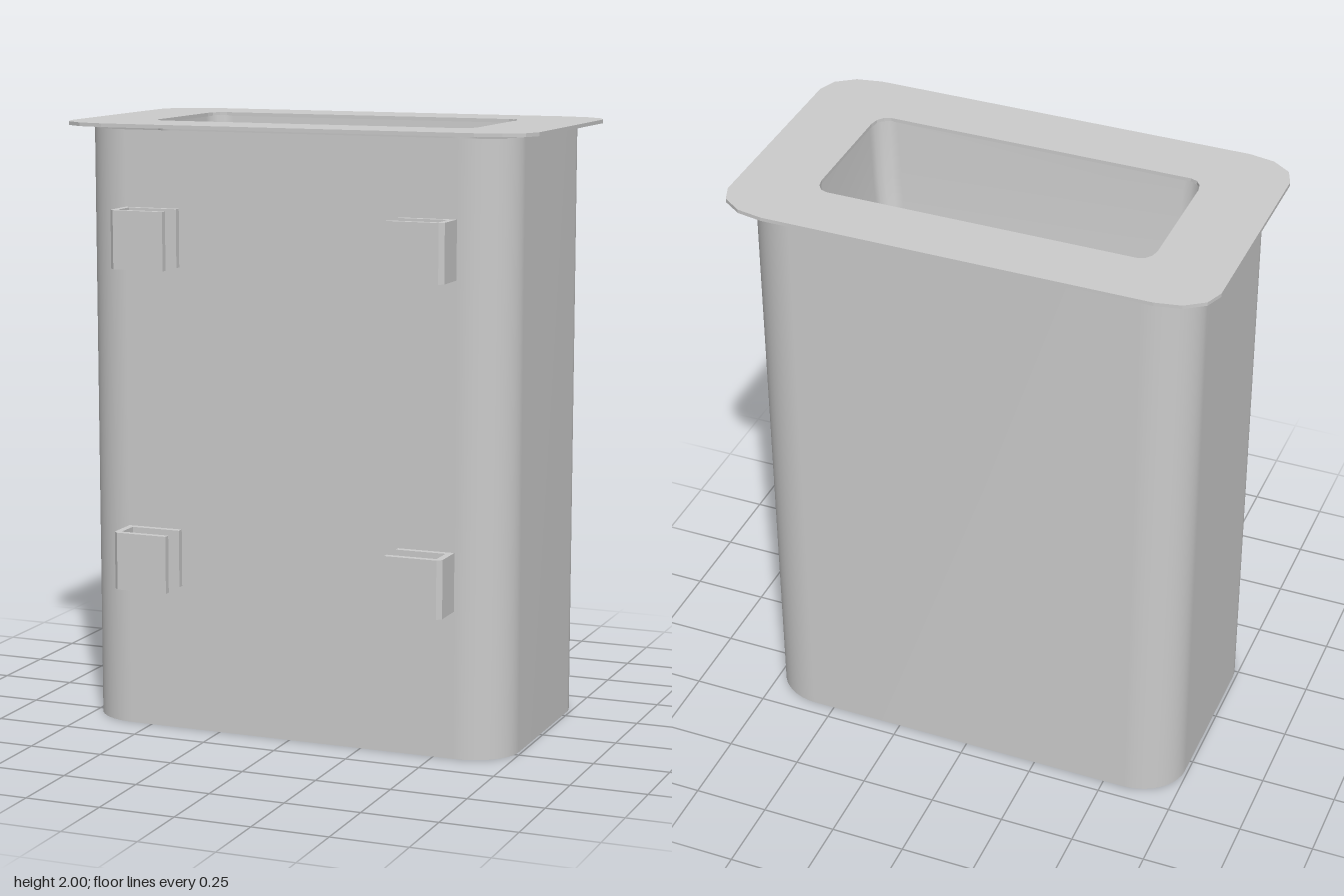
import * as THREE from 'three';

const Z0 = -0.045; // depth centre of the bin

// Rounded rectangle outline with elliptical corners, as [x, z] pairs
function outline(hx, hz, rx, rz, seg) {
  const pts = [];
  const corners = [[1, 1], [-1, 1], [-1, -1], [1, -1]];
  corners.forEach(([sx, sz], c) => {
    for (let i = 0; i <= seg; i++) {
      const a = (c + i / seg) * Math.PI / 2;
      pts.push(new THREE.Vector2(sx * (hx - rx) + rx * Math.cos(a), sz * (hz - rz) + rz * Math.sin(a)));
    }
  });
  return pts;
}

// Smooth skin through rings [{ y, pts }]; rising rings face outward, falling rings inward
function loft(rings) {
  const n = rings[0].pts.length;
  const pos = [], idx = [];
  rings.forEach(({ y, pts }) => pts.forEach(p => pos.push(p.x, y, p.y)));
  for (let r = 0; r < rings.length - 1; r++) {
    for (let i = 0; i < n; i++) {
      const a = r * n + i, b = r * n + (i + 1) % n;
      idx.push(a, a + n, b, b, a + n, b + n);
    }
  }
  const g = new THREE.BufferGeometry();
  g.setAttribute('position', new THREE.Float32BufferAttribute(pos, 3));
  g.setIndex(idx);
  g.computeVertexNormals();
  return g;
}

export function createModel() {
  const group = new THREE.Group();
  const solid = new THREE.MeshStandardMaterial({ color: 0xcccccc });
  const thin = new THREE.MeshStandardMaterial({ color: 0xcccccc, side: THREE.DoubleSide });
  const add = (name, geo, mat, x = 0, y = 0, z = 0) => {
    const m = new THREE.Mesh(geo, mat);
    m.name = name;
    m.position.set(x, y, z);
    group.add(m);
    return m;
  };

  // Thin outer wall, open at the bottom
  const wall = outline(0.74, 0.41, 0.17, 0.15, 10);
  add('bodyWall', loft([{ y: 0, pts: wall }, { y: 1.98, pts: wall }]), thin, 0, 0, Z0 + 0.005);

  // Flat top flange with a rectangular opening
  const flange = new THREE.Shape(outline(0.807, 0.46, 0.17, 0.12, 3));
  flange.holes.push(new THREE.Path(outline(0.556, 0.249, 0.045, 0.06, 3).reverse()));
  const flangeGeo = new THREE.ExtrudeGeometry(flange, { depth: 0.012, bevelEnabled: false });
  flangeGeo.rotateX(Math.PI / 2);
  add('topFlange', flangeGeo, solid, 0, 2, Z0 - 0.003);

  // Sagging inner liner, tapering to a closed bottom
  const profile = [[1.99, 1, 1], [1.8, 0.98, 0.96], [1.5, 0.92, 0.85], [1.2, 0.78, 0.65],
    [1.0, 0.6, 0.45], [0.88, 0.38, 0.25], [0.82, 0.15, 0.1], [0.81, 0.001, 0.001]];
  const rings = profile.map(([y, sx, sz]) => ({
    y, pts: outline(0.56 * sx, 0.252 * sz, 0.07 * sx, 0.07 * sz, 4),
  }));
  add('innerLiner', loft(rings), thin, 0, 0, Z0 - 0.003);

  // Four U-shaped clips on the front, open toward the middle
  for (const side of [-1, 1]) {
    const c = 0.015, t = 0.022;
    const clip = [[0.38, 0.5], [0.57 - c, 0.5], [0.57, 0.5 - c], [0.57, 0.375], [0.38, 0.375],
      [0.38, 0.375 + t], [0.57 - t, 0.375 + t], [0.57 - t, 0.5 - t], [0.38, 0.5 - t]];
    const shape = new THREE.Shape(clip.map(([x, z]) => new THREE.Vector2(side * x, z)));
    const geo = new THREE.ExtrudeGeometry(shape, { depth: 0.19, bevelEnabled: false });
    geo.rotateX(Math.PI / 2);
    for (const [row, top] of [['upper', 1.73], ['lower', 0.675]]) {
      add(`${row}${side > 0 ? 'Left' : 'Right'}Clip`, geo, solid, 0, top, 0);
    }
  }
  return group;
}
